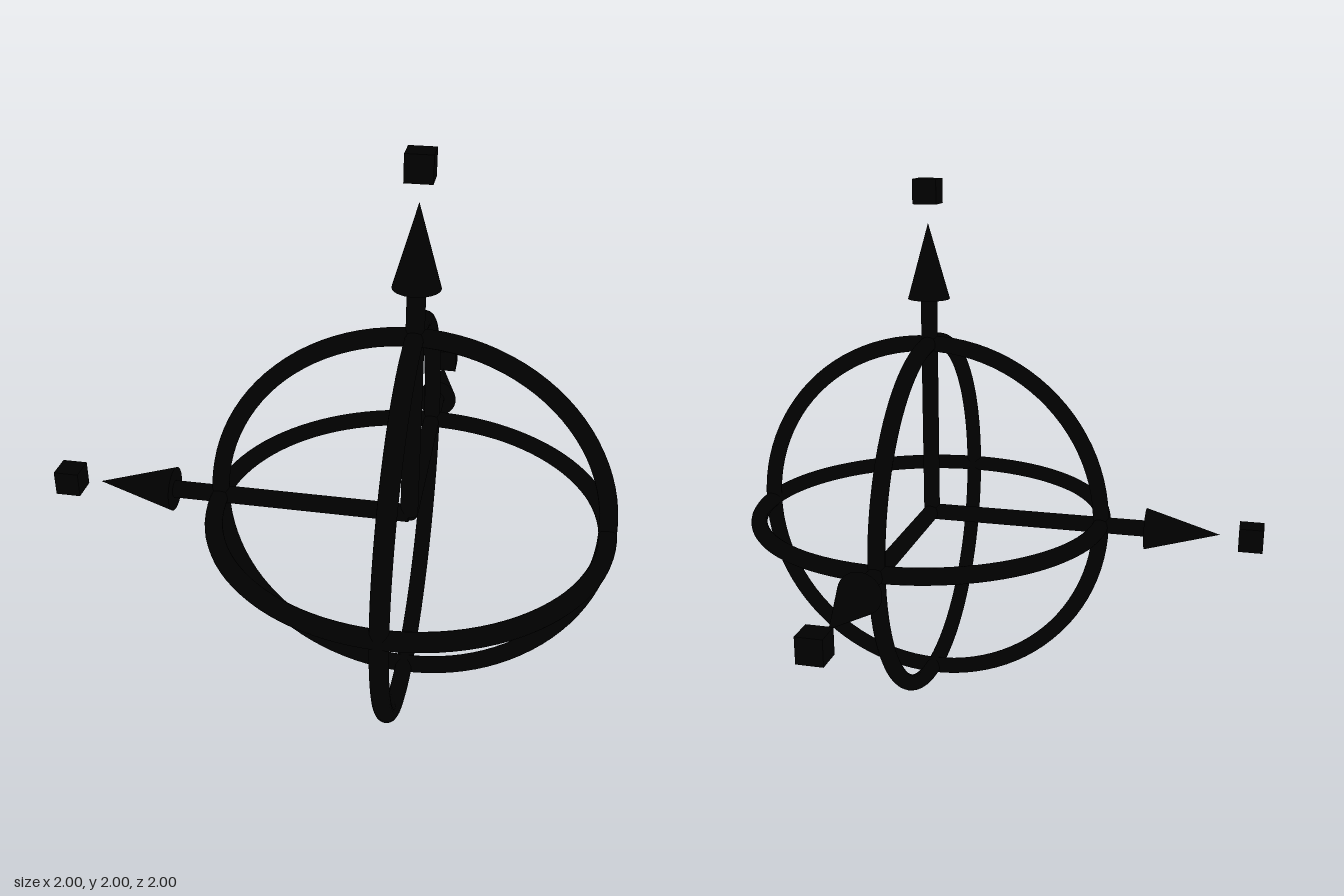
import * as THREE from 'three';

export function createModel() {
  const model = new THREE.Group();
  model.name = 'axisGizmo';
  const material = new THREE.MeshStandardMaterial({ color: 0x000000 });

  // All parts share one pivot, where the three axes meet
  const pivot = new THREE.Group();
  pivot.name = 'pivot';
  pivot.position.set(0.29, 0.71, 0.29);
  model.add(pivot);

  const ringRadius = 0.678, tube = 0.031;
  const shaftLength = 0.85, coneBase = 0.85, coneLength = 0.28, cubeSize = 0.09;

  const shaftGeo = new THREE.CylinderGeometry(tube, tube, shaftLength, 24).translate(0, shaftLength / 2, 0);
  const coneGeo = new THREE.ConeGeometry(0.079, coneLength, 32).translate(0, coneBase + coneLength / 2, 0);
  const cubeGeo = new THREE.BoxGeometry(cubeSize, cubeSize, cubeSize).translate(0, 1.245, 0);
  // Ring lies square to its own axis
  const ringGeo = new THREE.TorusGeometry(ringRadius, tube, 16, 96).rotateX(Math.PI / 2);

  const addPart = (group, name, geometry) => {
    const mesh = new THREE.Mesh(geometry, material);
    mesh.name = name;
    group.add(mesh);
  };

  // Each axis: move arrow, scale cube and rotation ring, built along +y then turned
  const axes = [
    ['xAxis', 0, Math.PI / 2],  // points to -x
    ['yAxis', 0, 0],            // points up
    ['zAxis', -Math.PI / 2, 0], // points to -z
  ];
  for (const [name, rx, rz] of axes) {
    const axis = new THREE.Group();
    axis.name = name;
    axis.rotation.set(rx, 0, rz);
    addPart(axis, 'arrowShaft', shaftGeo);
    addPart(axis, 'arrowHead', coneGeo);
    addPart(axis, 'scaleCube', cubeGeo);
    addPart(axis, 'rotationRing', ringGeo);
    pivot.add(axis);
  }
  return model;
}
